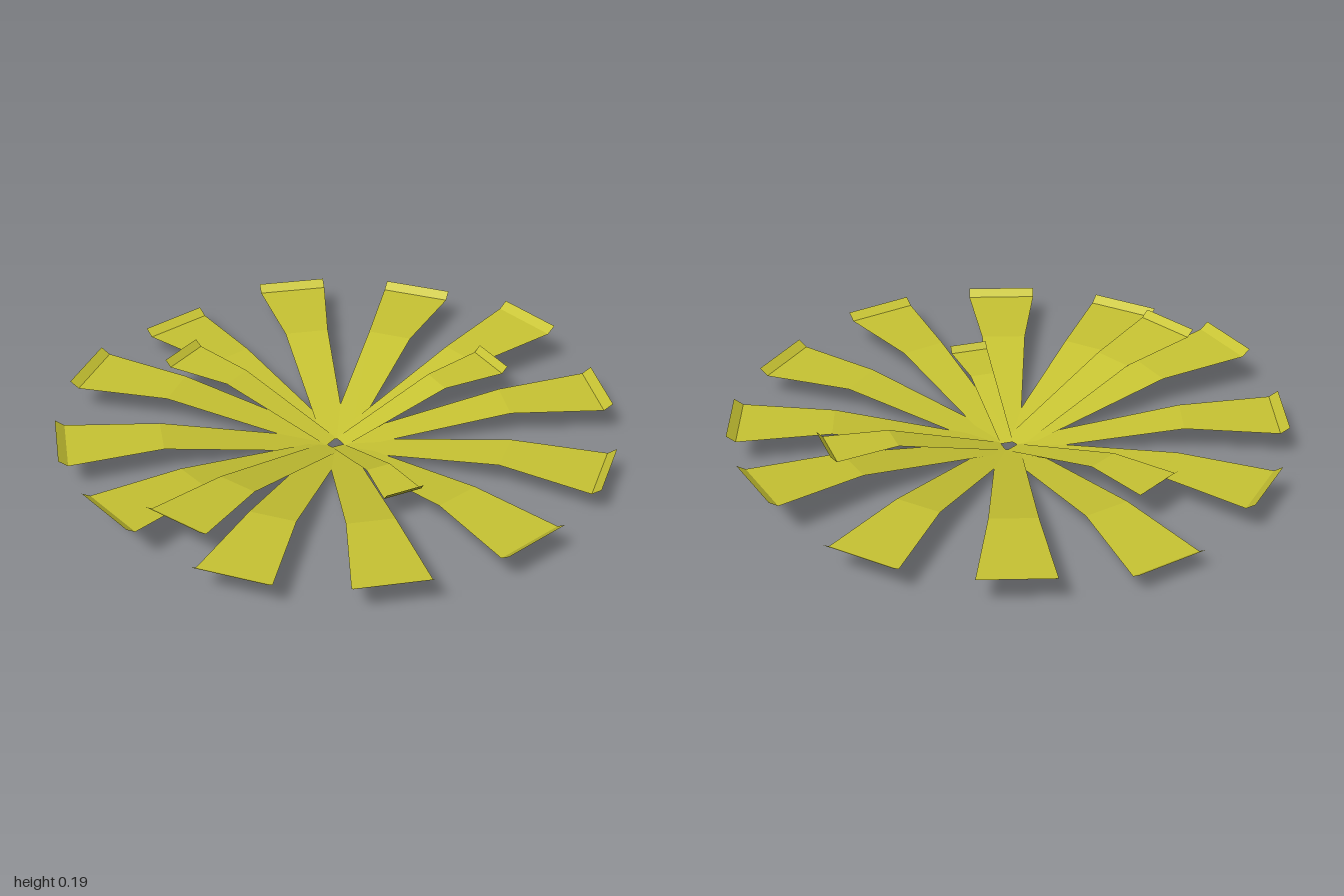
import * as THREE from 'three';

const material = new THREE.MeshStandardMaterial({ color: 0xc8c433, flatShading: true, side: THREE.DoubleSide });

// Thin strip pointing along +x: narrow root, rising arm, flat flare, upturned lip
function petalGeometry(reach, kneeY, tipY) {
  const sections = [ // radius, height, half width
    [0.03, 0, 0.044],
    [0.63, kneeY, 0.084],
    [0.968, tipY, 0.131],
    [1.0, tipY + 0.024, 0.131],
  ];
  const positions = [], index = [];
  sections.forEach(([r, y, w], i) => {
    positions.push(r * reach, y, -w * reach, r * reach, y, w * reach);
    if (i > 0) {
      const a = 2 * (i - 1);
      index.push(a, a + 1, a + 2, a + 1, a + 3, a + 2);
    }
  });
  const geometry = new THREE.BufferGeometry();
  geometry.setAttribute('position', new THREE.Float32BufferAttribute(positions, 3));
  geometry.setIndex(index);
  const flat = geometry.toNonIndexed();
  flat.computeVertexNormals();
  return flat;
}

export function createModel() {
  const group = new THREE.Group();
  group.name = 'flower';

  const addPetal = (name, degrees, reach, kneeY, tipY) => {
    const petal = new THREE.Mesh(petalGeometry(reach, kneeY, tipY), material);
    petal.name = name;
    petal.rotation.y = -THREE.MathUtils.degToRad(degrees); // angle runs from +x towards +z
    group.add(petal);
  };

  // Ring of twelve full petals, a few bent higher or lower
  const bent = { 0: [0.105, 0.094], 4: [0.13, 0.148], 7: [0.085, 0.068], 10: [0.13, 0.152] };
  for (let i = 0; i < 12; i++) {
    const [kneeY, tipY] = bent[i] ?? [0.11, 0.112];
    addPetal(`outerPetal${i + 1}`, i * 30, 1, kneeY, tipY);
  }

  // Four shorter petals lying over the ring
  [
    [45, 0.54, 0.11, 0.115],
    [107, 0.89, 0.14, 0.164],
    [194.5, 0.71, 0.13, 0.138],
    [-50, 0.69, 0.13, 0.138],
  ].forEach((p, i) => addPetal(`innerPetal${i + 1}`, ...p));

  return group;
}
